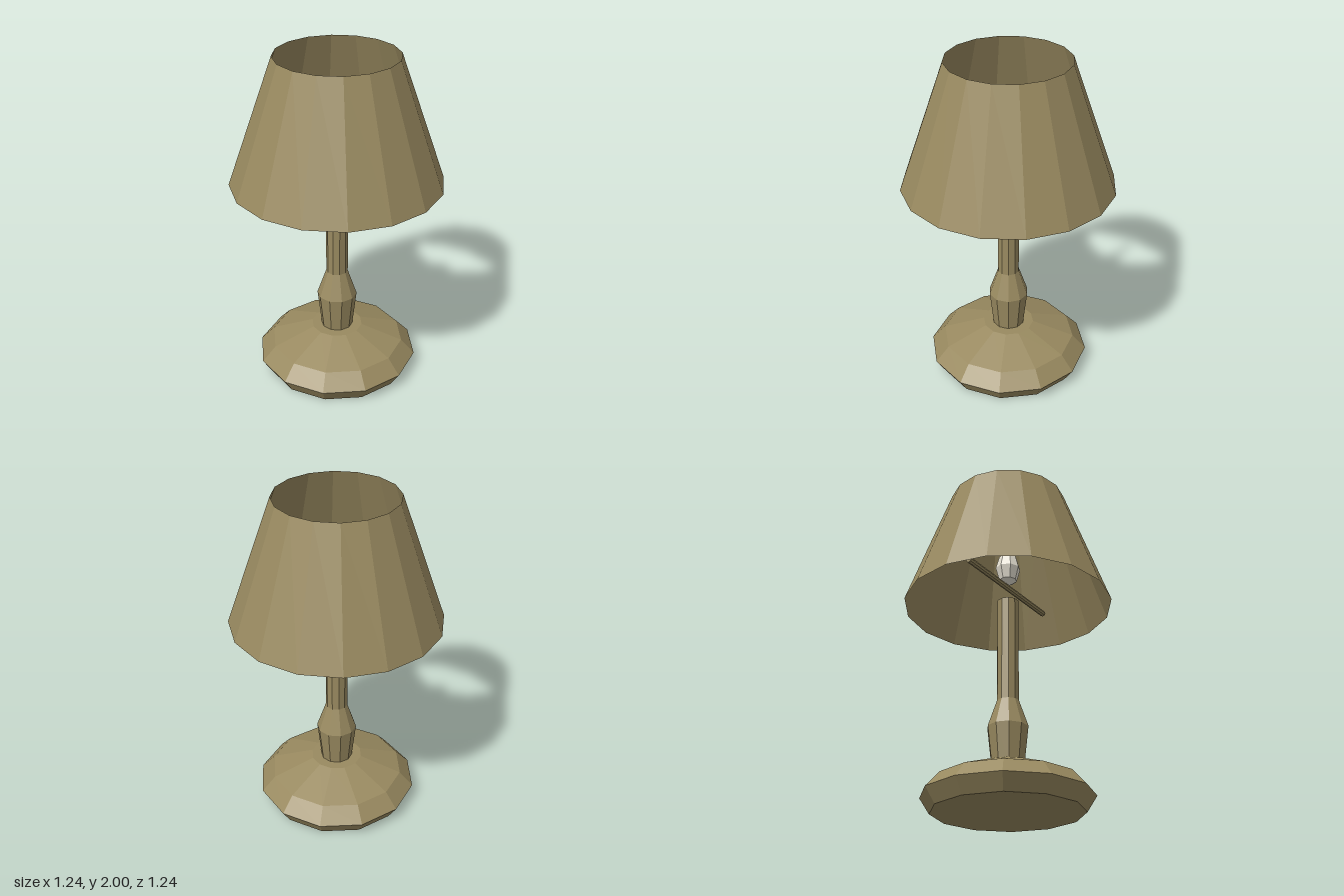
import * as THREE from 'three';

const brass = new THREE.MeshStandardMaterial({ color: 0x998a60 });
brass.name = 'brass';
const shadeFabric = new THREE.MeshStandardMaterial({ color: 0x998a60, side: THREE.DoubleSide });
shadeFabric.name = 'brass shade';
const glass = new THREE.MeshStandardMaterial({ color: 0xe6e1d3 });
glass.name = 'bulb glass';

// Faceted mesh: every face keeps its own normal
function part(name, geometry, material) {
  const flat = geometry.toNonIndexed();
  flat.computeVertexNormals();
  const mesh = new THREE.Mesh(flat, material);
  mesh.name = name;
  return mesh;
}

// Turned shape from [radius, y] pairs, listed bottom to top, with a corner on +x
function turned(profile, sides) {
  const points = profile.map(([r, y]) => new THREE.Vector2(r, y));
  return new THREE.LatheGeometry(points, sides).rotateY(Math.PI / 2);
}

export function createModel() {
  const lamp = new THREE.Group();
  lamp.name = 'tableLamp';

  // Wide foot
  lamp.add(part('base', turned(
    [[0, 0], [0.43, 0], [0.487, 0.09], [0.405, 0.18], [0.155, 0.27], [0, 0.27]], 12), brass));

  // Stem with a swollen collar
  lamp.add(part('stem', turned(
    [[0, 0.265], [0.095, 0.265], [0.12, 0.49], [0.065, 0.65], [0.065, 1.29], [0, 1.29]], 10), brass));

  // Crossbar under the bulb
  const bar = new THREE.CylinderGeometry(0.018, 0.018, 0.82, 8).rotateZ(Math.PI / 2);
  bar.translate(0, 1.385, 0);
  lamp.add(part('crossbar', bar, brass));

  // Elongated faceted bulb
  const bulb = new THREE.SphereGeometry(0.076, 8, 4).scale(1, 1.5, 1);
  bulb.translate(0, 1.515, 0);
  lamp.add(part('bulb', bulb, glass));

  // Open tapered shade
  lamp.add(part('shade', turned([[0.62, 1.25], [0.355, 2]], 16), shadeFabric));

  return lamp;
}
